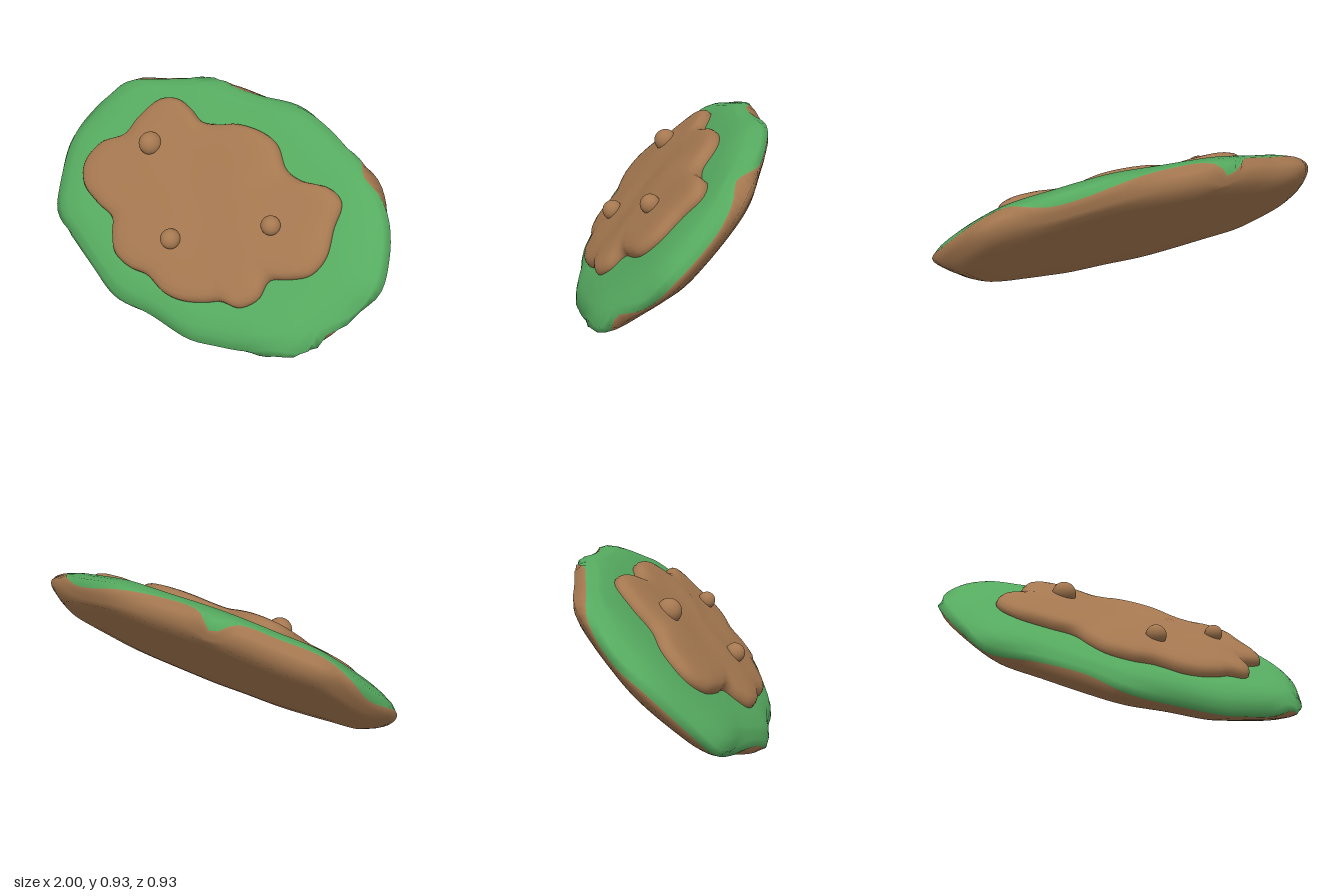
import * as THREE from 'three';

const grass = new THREE.MeshStandardMaterial({ color: 0x56ab60 });
grass.name = 'grass green';
const dirt = new THREE.MeshStandardMaterial({ color: 0xa57850 });
dirt.name = 'dirt brown';

// Slab outline, counter-clockwise: x, height of the grass edge, distance up the slope
const SLAB = [
  [1, 0, 0], [0.965, 0, 0.15], [0.905, 0.005, 0.28], [0.83, 0.025, 0.39], [0.74, 0.045, 0.465],
  [0.55, -0.02, 0.545], [0.4, -0.025, 0.605], [0.25, -0.01, 0.645], [0, 0.03, 0.635],
  [-0.22, 0.025, 0.63], [-0.32, -0.045, 0.62], [-0.42, 0.025, 0.595], [-0.6, 0.035, 0.53],
  [-0.8, 0.035, 0.455], [-0.88, 0, 0.35], [-0.955, -0.03, 0.19], [-1, 0, 0],
  [-0.93, -0.01, -0.27], [-0.85, -0.03, -0.41], [-0.65, 0.01, -0.5], [-0.45, 0.025, -0.585],
  [-0.25, 0, -0.645], [0, -0.02, -0.635], [0.25, -0.02, -0.64], [0.4, -0.02, -0.6],
  [0.55, -0.02, -0.55], [0.71, 0.015, -0.49], [0.82, -0.03, -0.41], [0.88, 0.02, -0.3],
  [0.955, -0.02, -0.14],
];

// Lobed outline of the soil patch: x, distance up the slope
const PATCH = [
  [0.73, 0.02], [0.7, 0.16], [0.68, 0.28], [0.6, 0.32], [0.45, 0.3], [0.35, 0.32],
  [0.25, 0.41], [0.15, 0.44], [0, 0.43], [-0.1, 0.39], [-0.2, 0.37], [-0.3, 0.41],
  [-0.4, 0.43], [-0.5, 0.39], [-0.57, 0.26], [-0.6, 0.15], [-0.72, 0.05], [-0.76, -0.09],
  [-0.7, -0.19], [-0.55, -0.25], [-0.43, -0.28], [-0.38, -0.36], [-0.32, -0.43],
  [-0.2, -0.46], [-0.08, -0.45], [0.05, -0.484], [0.15, -0.477], [0.27, -0.43],
  [0.35, -0.385], [0.45, -0.37], [0.52, -0.29], [0.53, -0.19], [0.62, -0.14], [0.7, -0.08],
];

// Low mounds on the soil: x, distance up the slope, radius, height
const MOUNDS = [
  [0.17, 0.12, 0.14, 0.016], [-0.4, 0.1, 0.15, 0.01],
  [0.35, -0.1, 0.13, 0.012], [-0.08, -0.15, 0.15, 0.012],
];

function outline(points, count) {
  const curve = new THREE.CatmullRomCurve3(
    points.map(([x, y, v]) => new THREE.Vector3(x, y, -v)), true, 'centripetal');
  return curve.getSpacedPoints(count).slice(0, count);
}

// Stack rings from bottom to top; rows give [scale, height] for each outline point
function loft(ring, rows) {
  const n = ring.length;
  const positions = [];
  const index = [];
  rows.forEach((row, i) => ring.forEach((p, j) => {
    const [scale, height] = row(p);
    positions.push(p.x * scale, height, p.z * scale);
    if (i === rows.length - 1) return;
    const a = i * n + j;
    const b = i * n + (j + 1) % n;
    index.push(a, b, b + n, a, b + n, a + n);
  }));
  const geometry = new THREE.BufferGeometry();
  geometry.setAttribute('position', new THREE.Float32BufferAttribute(positions, 3));
  geometry.setIndex(index);
  geometry.computeVertexNormals();
  return geometry;
}

function addMesh(parent, name, geometry, material) {
  const mesh = new THREE.Mesh(geometry, material);
  mesh.name = name;
  parent.add(mesh);
  return mesh;
}

export function createModel() {
  const model = new THREE.Group();
  model.name = 'grassyMound';
  const tilted = new THREE.Group();
  tilted.name = 'tiltedIsland';
  tilted.rotation.x = Math.PI / 4;
  model.add(tilted);

  // Slab: brown underside and green top meeting along an uneven edge
  const TOP = 0.075;
  const BOTTOM = -0.085;
  const rim = (h) => [1 - 0.13 * Math.pow(h > 0 ? h / TOP : h / BOTTOM, 1.6), h];
  const between = (from, to, t) => rim(from + (to - from) * t);
  const slabRows = [
    () => [0.001, -0.093], () => [0.4, -0.093], () => [0.75, -0.092],
    () => rim(BOTTOM),
    (p) => between(BOTTOM, p.y, 0.25),
    (p) => between(BOTTOM, p.y, 0.6),
    (p) => rim(p.y),
    (p) => between(p.y, TOP, 0.4),
    (p) => between(p.y, TOP, 0.75),
    () => rim(TOP),
    () => [0.75, 0.088], () => [0.4, 0.095], () => [0.001, 0.095],
  ];
  const slabRing = outline(SLAB, 120);
  const slab = loft(slabRing, slabRows);
  const split = 6 * slabRing.length * 6;
  slab.addGroup(0, split, 0);
  slab.addGroup(split, slab.index.count - split, 1);
  addMesh(tilted, 'grassSlab', slab, [dirt, grass]);

  // Soil patch: rounded edge with gentle mounds on top
  const lumpy = (scale, height) => (p) => [scale, MOUNDS.reduce((sum, [x, v, r, h]) => {
    const d = Math.hypot(p.x * scale - x, p.z * scale + v) / r;
    return sum + h * Math.exp(-d * d);
  }, height)];
  const patchRows = [
    [0.98, 0.05], [1, 0.09], [0.995, 0.108], [0.975, 0.125], [0.94, 0.137], [0.87, 0.146],
    [0.75, 0.15], [0.6, 0.15], [0.45, 0.15], [0.3, 0.15], [0.15, 0.15], [0.001, 0.15],
  ].map(([scale, height]) => lumpy(scale, height));
  const patchRing = outline(PATCH.map(([x, v]) => [x, 0, v]), 160);
  addMesh(tilted, 'soilPatch', loft(patchRing, patchRows), dirt);

  // Pebbles: x, height, distance up the slope, radius
  [[-0.385, 0.16, 0.155, 0.06], [0.44, 0.165, 0.045, 0.047], [-0.015, 0.166, -0.23, 0.051]]
    .forEach(([x, y, v, r]) => {
      addMesh(tilted, 'pebble', new THREE.SphereGeometry(r, 24, 16), dirt).position.set(x, y, -v);
    });

  // Rest the lowest point on the ground
  model.updateMatrixWorld(true);
  tilted.position.y = -new THREE.Box3().setFromObject(model, true).min.y;
  return model;
}
